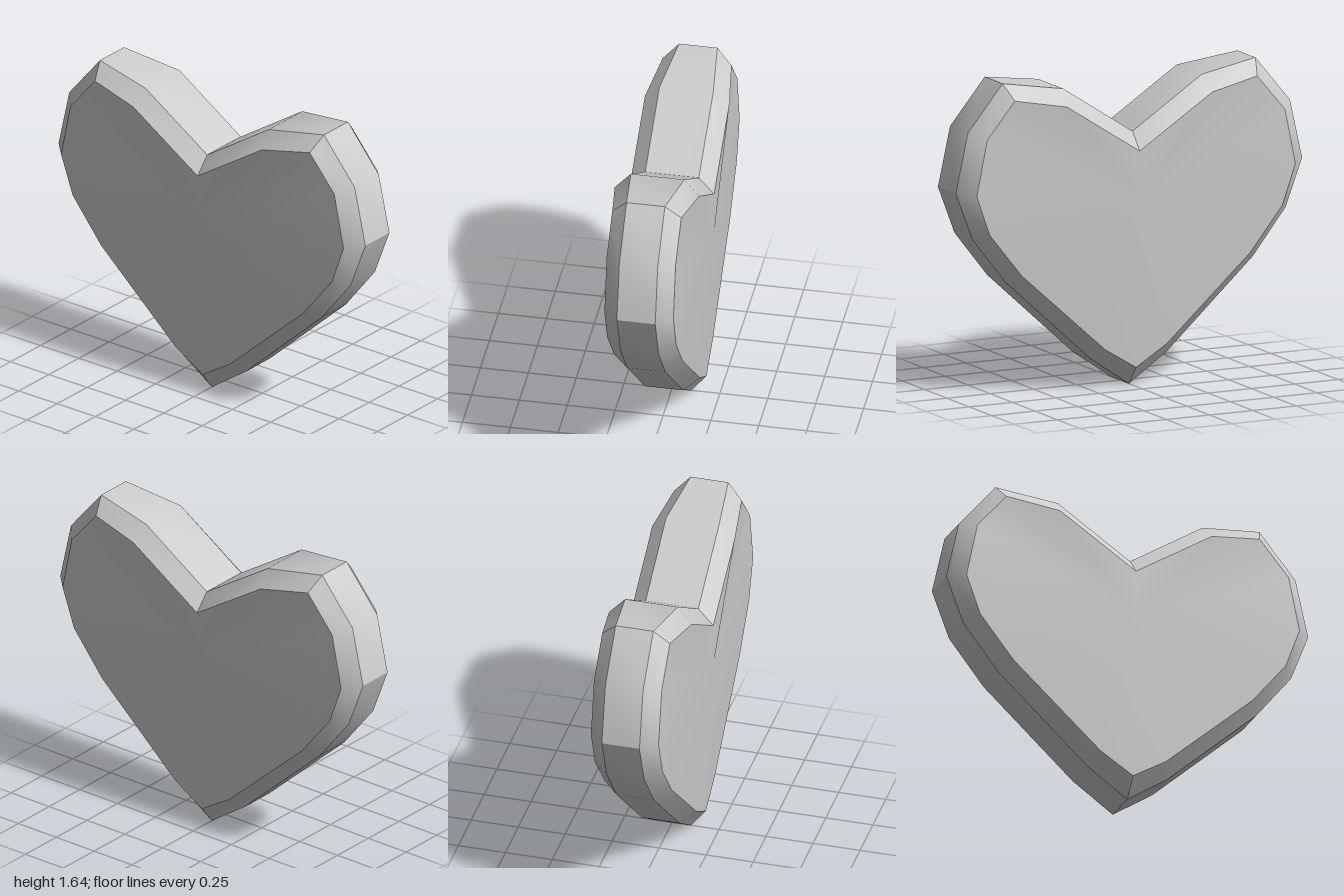
import * as THREE from 'three';
import { toCreasedNormals } from 'three/addons/utils/BufferGeometryUtils.js';

// Half outlines from the notch round to the bottom tip: [x, y, z]
const RIM = [
  [0, 1.33, 0.14], [0.4, 1.59, 0.14], [0.73, 1.64, 0.1], [0.93, 1.4, 0.1], [1, 1.09, 0.1],
  [0.905, 0.84, 0.1], [0.715, 0.6, 0.1], [0.22, 0.15, 0.1], [0, 0, 0.1],
];
const FACE = [
  [0, 1.24, 0.22], [0.42, 1.51, 0.22], [0.7, 1.56, 0.18], [0.86, 1.37, 0.18], [0.92, 1.08, 0.18],
  [0.845, 0.87, 0.18], [0.66, 0.64, 0.18], [0.18, 0.21, 0.18], [0, 0.1, 0.18],
];

// Mirror a half outline into a closed ring, on the front (side 1) or back (side -1)
function ring(half, side) {
  const mirrored = half.slice(1, -1).reverse().map(([x, y, z]) => [-x, y, z]);
  return [...half, ...mirrored].map(([x, y, z]) => [x, y, z * side]);
}

function heartGeometry() {
  const rings = [ring(FACE, -1), ring(RIM, -1), ring(RIM, 1), ring(FACE, 1)];
  const n = rings[0].length;
  const back = [0, 1, -0.22], front = [0, 1, 0.22];
  const pos = [];
  const tri = (a, b, c) => pos.push(...a, ...b, ...c);

  for (let i = 0; i < n; i++) {
    const j = (i + 1) % n;
    // Bevel, side wall, bevel
    for (let r = 0; r < 3; r++) {
      const a = rings[r][i], b = rings[r][j], c = rings[r + 1][j], d = rings[r + 1][i];
      tri(d, c, b);
      tri(d, b, a);
    }
    // Gently domed faces
    tri(front, rings[3][j], rings[3][i]);
    tri(back, rings[0][i], rings[0][j]);
  }
  const geometry = new THREE.BufferGeometry();
  geometry.setAttribute('position', new THREE.Float32BufferAttribute(pos, 3));
  return toCreasedNormals(geometry, THREE.MathUtils.degToRad(30));
}

export function createModel() {
  const group = new THREE.Group();
  group.name = 'heart';
  const body = new THREE.Mesh(heartGeometry(), new THREE.MeshStandardMaterial({ color: 0xcccccc }));
  body.name = 'heartBody';
  group.add(body);
  return group;
}
